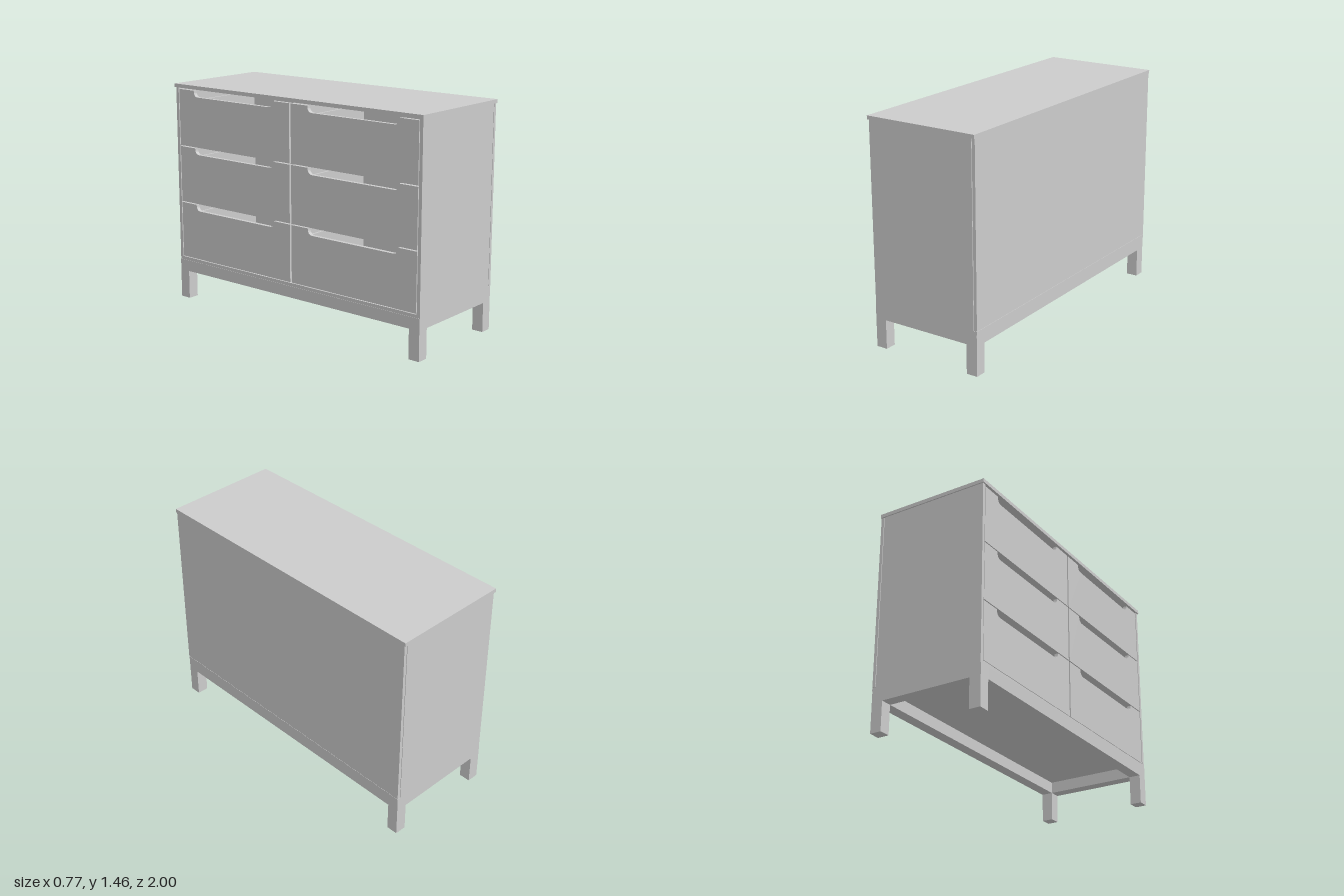
import * as THREE from 'three';

const material = new THREE.MeshStandardMaterial({ color: 0xcccccc });

// Box given by its minimum and maximum on each axis
function slab(name, [x0, x1], [y0, y1], [z0, z1]) {
  const mesh = new THREE.Mesh(new THREE.BoxGeometry(x1 - x0, y1 - y0, z1 - z0), material);
  mesh.position.set((x0 + x1) / 2, (y0 + y1) / 2, (z0 + z1) / 2);
  mesh.name = name;
  return mesh;
}

// Drawer front with a round-cornered finger slot cut into its top edge
function drawerFront(width, height, thickness) {
  const w = width / 2, slot = 0.345, depth = 0.042, r = 0.038;
  const s = new THREE.Shape();
  s.moveTo(-w, 0);
  s.lineTo(w, 0);
  s.lineTo(w, height);
  s.lineTo(slot, height);
  s.lineTo(slot, height - depth + r);
  s.quadraticCurveTo(slot, height - depth, slot - r, height - depth);
  s.lineTo(-slot + r, height - depth);
  s.quadraticCurveTo(-slot, height - depth, -slot, height - depth + r);
  s.lineTo(-slot, height);
  s.lineTo(-w, height);
  s.closePath();
  const geometry = new THREE.ExtrudeGeometry(s, { depth: thickness, bevelEnabled: false, curveSegments: 6 });
  geometry.rotateY(-Math.PI / 2);
  const mesh = new THREE.Mesh(geometry, material);
  mesh.name = 'drawerFront';
  return mesh;
}

export function createModel() {
  const model = new THREE.Group();
  model.name = 'drawerChest';
  const add = (...args) => model.add(slab(...args));

  // Base frame: square legs joined by square rails
  const bar = 0.075, rail = [0.19, 0.265], X = 0.378, Z = 0.993;
  for (const sx of [-1, 1]) {
    const xs = sx < 0 ? [-X, -X + bar] : [X - bar, X];
    add('longRail', xs, rail, [-Z + bar, Z - bar]);
    for (const sz of [-1, 1]) {
      const zs = sz < 0 ? [-Z, -Z + bar] : [Z - bar, Z];
      add('leg', xs, [0, 0.265], zs);
      if (sx > 0) add('shortRail', [-X + bar, X - bar], rail, zs);
    }
  }

  // Case
  add('tabletop', [-0.384, 0.382], [1.436, 1.46], [-1, 1]);
  add('bottomPanel', [-0.376, 0.38], [0.265, 0.286], [-Z, Z]);
  add('backPanel', [0.36, 0.38], [0.288, 1.436], [-Z, Z]);
  add('sidePanel', [-0.376, 0.356], [0.286, 1.436], [-Z, -Z + 0.022]);
  add('sidePanel', [-0.376, 0.356], [0.286, 1.436], [Z - 0.022, Z]);
  add('divider', [-0.35, 0.36], [0.286, 1.436], [-0.01, 0.01]);

  // Two columns of three drawers on the -x face
  const pitch = 0.381, width = 0.959, height = 0.374;
  for (const side of [-1, 1]) {
    for (let row = 0; row < 3; row++) {
      const drawer = new THREE.Group();
      drawer.name = 'drawer';
      drawer.add(drawerFront(width, height, 0.025));
      // Open box behind the front
      const w = 0.45, top = 0.29;
      drawer.add(
        slab('drawerFloor', [0, 0.66], [0.03, 0.04], [-w, w]),
        slab('drawerSide', [0, 0.66], [0.04, top], [-w, -w + 0.015]),
        slab('drawerSide', [0, 0.66], [0.04, top], [w - 0.015, w]),
        slab('drawerBack', [0.645, 0.66], [0.04, top], [-w + 0.015, w - 0.015])
      );
      drawer.position.set(-0.35, 0.29 + row * pitch, side * 0.486);
      model.add(drawer);
    }
  }
  return model;
}
